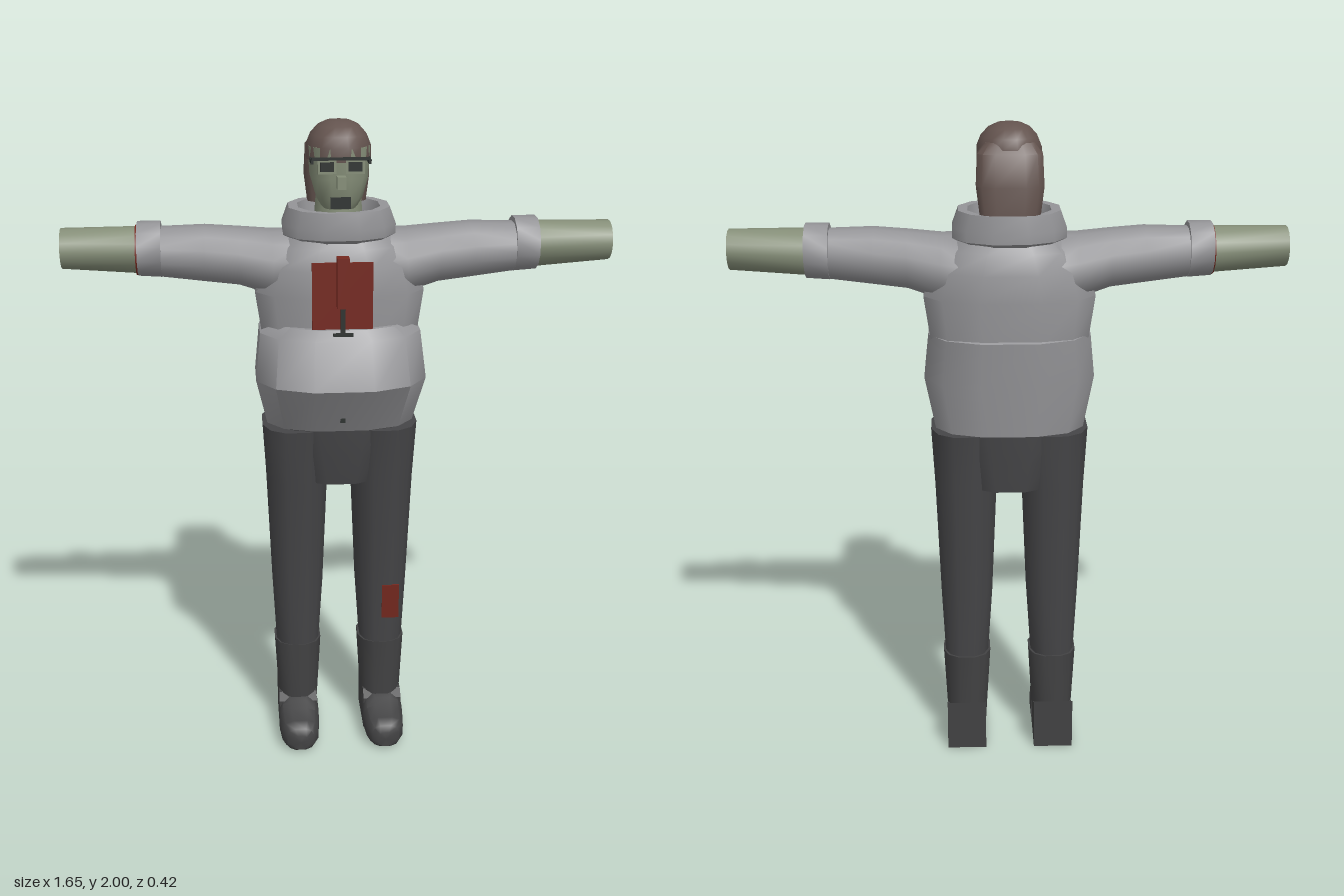
import * as THREE from 'three';
import { toCreasedNormals } from 'three/addons/utils/BufferGeometryUtils.js';

const material = (name, color) => {
  const m = new THREE.MeshStandardMaterial({ color });
  m.name = name;
  return m;
};

// Skin cross-sections [t, u0, u1, v0, v1] (bounds at position t) along an axis.
// Axis y: u = x, v = z.  Axis x: u = z, v = y.  Axis z: u = y, v = x.
function loft(axis, rings, sides = 12, power = 0.8) {
  const pos = [], idx = [];
  const put = (t, u, v) => pos.push(...(axis === 'y' ? [u, t, v] : axis === 'x' ? [t, v, u] : [v, u, t]));
  const bend = (s) => Math.sign(s) * Math.abs(s) ** power;
  const fit = bend(Math.cos(Math.PI / sides));
  for (const [t, u0, u1, v0, v1] of rings) {
    for (let j = 0; j < sides; j++) {
      const a = ((j + 0.5) / sides) * Math.PI * 2;
      put(t, (u0 + u1) / 2 + (bend(Math.sin(a)) / fit) * (u1 - u0) / 2,
        (v0 + v1) / 2 + (bend(Math.cos(a)) / fit) * (v1 - v0) / 2);
    }
  }
  const last = rings.length - 1;
  for (let i = 0; i < last; i++) {
    for (let j = 0; j < sides; j++) {
      const k = (j + 1) % sides, a = i * sides, b = a + sides;
      idx.push(a + j, a + k, b + k, a + j, b + k, b + j);
    }
  }
  // End caps
  for (const i of [0, last]) {
    const [t, u0, u1, v0, v1] = rings[i];
    const c = pos.length / 3;
    put(t, (u0 + u1) / 2, (v0 + v1) / 2);
    for (let j = 0; j < sides; j++) {
      const p = i * sides + j, q = i * sides + ((j + 1) % sides);
      if (i === 0) idx.push(c, q, p); else idx.push(c, p, q);
    }
  }
  const g = new THREE.BufferGeometry();
  g.setAttribute('position', new THREE.Float32BufferAttribute(pos, 3));
  g.setIndex(idx);
  return toCreasedNormals(g, 0.75);
}

export function createModel() {
  const coat = material('grey coat', 0x949497);
  const trousers = material('charcoal trousers', 0x454547);
  const leather = material('boot leather', 0x424243);
  const skin = material('grey green skin', 0x858e78);
  const hairColor = material('brown hair', 0x63534e);
  const red = material('dark red', 0x74281f);
  const dark = material('near black', 0x2e3230);

  const model = new THREE.Group();
  const add = (name, geo, mat, parent = model) => {
    const mesh = new THREE.Mesh(geo, mat);
    mesh.name = name;
    parent.add(mesh);
    return mesh;
  };
  const box = (name, mat, w, h, d, x, y, z, parent) => {
    const mesh = add(name, new THREE.BoxGeometry(w, h, d), mat, parent);
    mesh.position.set(x, y, z);
    return mesh;
  };

  // Jacket: chest, overhanging belly and collar
  add('chest', loft('y', [
    [1.36, -0.235, 0.235, -0.2, 0.11], [1.5, -0.255, 0.255, -0.207, 0.116],
    [1.58, -0.23, 0.23, -0.203, 0.115], [1.64, -0.19, 0.19, -0.19, 0.1],
    [1.69, -0.13, 0.13, -0.16, 0.07]]), coat);
  add('belly', loft('y', [
    [1.085, -0.225, 0.225, -0.185, 0.11], [1.24, -0.258, 0.258, -0.2, 0.207],
    [1.38, -0.243, 0.243, -0.208, 0.158], [1.41, -0.2, 0.2, -0.16, 0.135]]), coat);
  add('collar', loft('y', [
    [1.645, -0.13, 0.13, -0.16, 0.07], [1.67, -0.168, 0.168, -0.192, 0.105],
    [1.7, -0.168, 0.168, -0.192, 0.108], [1.75, -0.15, 0.15, -0.185, 0.1],
    [1.75, -0.122, 0.122, -0.165, 0.078], [1.69, -0.11, 0.11, -0.155, 0.065]], 12, 0.9), coat);

  // Chest patch, pendant and button
  box('chestPatch', red, 0.18, 0.2, 0.008, 0, 1.51, 0.12);
  box('pendant', red, 0.036, 0.15, 0.036, 0, 1.555, 0.14);
  box('pendantRod', dark, 0.014, 0.08, 0.014, 0, 1.44, 0.142);
  box('pendantBar', dark, 0.06, 0.008, 0.014, 0, 1.4, 0.15);
  box('button', dark, 0.016, 0.016, 0.008, 0, 1.13, 0.138);

  // Sleeves, cuffs and forearms
  for (const side of [1, -1]) {
    const arm = new THREE.Group();
    arm.name = side > 0 ? 'leftArm' : 'rightArm';
    arm.scale.x = side;
    model.add(arm);
    add('sleeve', loft('x', [
      [0.12, -0.175, 0.085, 1.46, 1.675], [0.2, -0.165, 0.075, 1.485, 1.675],
      [0.3, -0.142, 0.06, 1.518, 1.685], [0.4, -0.132, 0.053, 1.53, 1.693],
      [0.59, -0.115, 0.037, 1.553, 1.688]], 12, 0.95), coat, arm);
    add('cuff', loft('x', [
      [0.53, -0.128, 0.046, 1.545, 1.705], [0.6, -0.128, 0.046, 1.55, 1.705]], 12, 0.95), coat, arm);
    add('forearm', loft('x', [
      [0.58, -0.112, 0.034, 1.555, 1.692], [0.825, -0.102, 0.024, 1.573, 1.69]], 14, 1), skin, arm);
    if (side < 0) add('wristMark', loft('x', [
      [0.598, -0.117, 0.039, 1.55, 1.696], [0.605, -0.117, 0.039, 1.55, 1.696]], 14, 1), red, arm);
  }

  // Pelvis
  add('pelvis', loft('y', [
    [0.9, -0.13, 0.13, -0.168, 0.085], [1.0, -0.17, 0.17, -0.174, 0.1],
    [1.1, -0.21, 0.21, -0.175, 0.105]]), trousers);

  // Heel and instep profile (z, y), extruded across the boot
  const instep = new THREE.Shape([[-0.155, 0], [0.04, 0], [0.04, 0.11], [0.01, 0.13],
    [-0.1, 0.13], [-0.155, 0.165]].map(([z, y]) => new THREE.Vector2(z, y)));

  // Legs and boots
  for (const side of [1, -1]) {
    const leg = new THREE.Group();
    leg.name = side > 0 ? 'leftLeg' : 'rightLeg';
    leg.scale.x = side;
    model.add(leg);
    add('trouserLeg', loft('y', [
      [0.3, 0.07, 0.205, -0.13, 0.035], [0.53, 0.055, 0.216, -0.14, 0.048],
      [0.9, 0.04, 0.23, -0.158, 0.083], [1.08, 0.03, 0.24, -0.17, 0.105]]), trousers, leg);
    add('bootShaft', loft('y', [
      [0.08, 0.076, 0.2, -0.128, 0.03], [0.32, 0.062, 0.212, -0.137, 0.038]]), leather, leg);
    const heel = new THREE.ExtrudeGeometry(instep, { depth: 0.124, bevelEnabled: false });
    heel.rotateY(-Math.PI / 2);
    heel.translate(0.202, 0, 0);
    add('bootHeel', toCreasedNormals(heel.applyMatrix4(new THREE.Matrix4()), 0.4), leather, leg);
    add('bootToe', loft('z', [
      [-0.02, 0, 0.128, 0.074, 0.204], [0.05, 0, 0.118, 0.074, 0.204],
      [0.07, 0, 0.1, 0.074, 0.204], [0.14, 0, 0.095, 0.08, 0.198],
      [0.168, 0.004, 0.08, 0.095, 0.183], [0.178, 0.01, 0.06, 0.115, 0.163]], 12, 0.7), leather, leg);
  }
  const kneePatch = box('shinPatch', red, 0.055, 0.12, 0.008, 0.162, 0.47, 0.043);
  kneePatch.rotation.x = 0.06;

  // Head
  const head = new THREE.Group();
  head.name = 'head';
  model.add(head);
  add('neck', loft('y', [
    [1.67, -0.075, 0.075, -0.12, 0.03], [1.8, -0.065, 0.065, -0.11, 0.02]], 12, 1), skin, head);
  add('face', loft('y', [
    [1.75, -0.05, 0.05, -0.09, 0.042], [1.78, -0.068, 0.068, -0.1, 0.053],
    [1.84, -0.085, 0.085, -0.12, 0.06], [1.93, -0.09, 0.09, -0.12, 0.06]]), skin, head);
  add('hairCap', loft('y', [
    [1.89, -0.095, 0.095, -0.15, 0.062], [1.93, -0.094, 0.094, -0.15, 0.064],
    [1.96, -0.082, 0.082, -0.14, 0.05], [1.985, -0.06, 0.06, -0.115, 0.02],
    [1.997, -0.035, 0.035, -0.085, -0.01], [2.0, -0.012, 0.012, -0.06, -0.03]], 16, 0.9), hairColor, head);
  add('backHair', loft('y', [
    [1.75, -0.088, 0.088, -0.178, -0.08], [1.83, -0.098, 0.098, -0.175, -0.075],
    [1.92, -0.094, 0.094, -0.158, -0.06], [1.95, -0.07, 0.07, -0.135, -0.07]], 12, 0.6), hairColor, head);

  // Spectacles, nose and mouth
  for (const s of [1, -1]) {
    box('spectacleFrame', skin, 0.054, 0.042, 0.014, s * 0.041, 1.88, 0.064, head);
    box('spectacleLens', dark, 0.04, 0.027, 0.006, s * 0.041, 1.88, 0.072, head);
    box('spectacleArm', dark, 0.008, 0.012, 0.07, s * 0.084, 1.893, 0.035, head);
  }
  box('spectacleBridge', dark, 0.17, 0.008, 0.012, 0, 1.902, 0.066, head);
  box('nose', skin, 0.026, 0.036, 0.04, 0, 1.835, 0.07, head);
  box('mouth', dark, 0.06, 0.034, 0.008, 0, 1.772, 0.053, head);

  return model;
}
